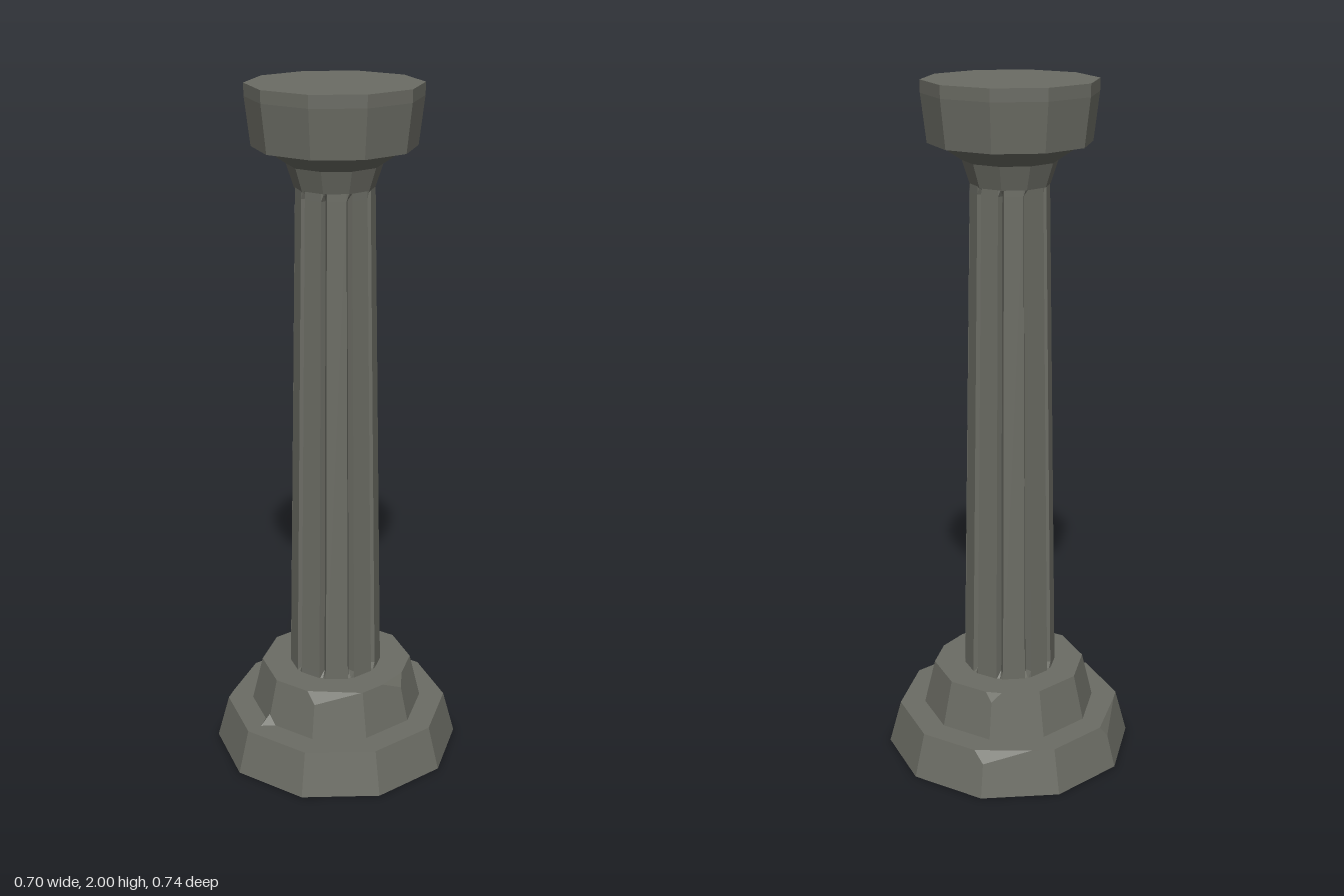
import * as THREE from 'three';
import { ConvexGeometry } from 'three/addons/geometries/ConvexGeometry.js';

const SIDES = 10;
const STEP = (Math.PI * 2) / SIDES;

// Point on a ring; angle 0 faces the front (+z)
const polar = (r, a, y) => new THREE.Vector3(r * Math.sin(a), y, r * Math.cos(a));

// Flat facets with hard edges
function faceted(geometry) {
  const g = geometry.index ? geometry.toNonIndexed() : geometry;
  g.computeVertexNormals();
  return g;
}

// Ten-sided tapered block; chips maps a top corner to the points that replace it
function chippedBlock(r0, r1, y0, y1, chips) {
  const points = [];
  for (let i = 0; i < SIDES; i++) {
    points.push(polar(r0, i * STEP, y0));
    if (!chips[i]) {
      points.push(polar(r1, i * STEP, y1));
      continue;
    }
    const { drop, before, after } = chips[i];
    const corner = polar(r1, i * STEP, y1);
    // The corner slides down its slanted edge, leaving a facet to both neighbours
    points.push(corner.clone().lerp(polar(r0, i * STEP, y0), drop));
    points.push(corner.clone().lerp(polar(r1, (i - 1) * STEP, y1), before));
    points.push(corner.clone().lerp(polar(r1, (i + 1) * STEP, y1), after));
  }
  return faceted(new ConvexGeometry(points));
}

// Tapered shaft with a narrow V groove along each corner, running out at both ends
function flutedShaft() {
  const half = 0.075;
  const levels = [
    [0.262, 0.137, 0.135], [0.285, 0.1365, 0.117],
    [1.7, 0.1105, 0.094], [1.722, 0.11, 0.109],
  ];
  const positions = [];
  const index = [];
  const n = SIDES * 3;
  for (const [y, r, groove] of levels) {
    for (let i = 0; i < SIDES; i++) {
      positions.push(...polar(r, i * STEP - half, y).toArray());
      positions.push(...polar(groove, i * STEP, y).toArray());
      positions.push(...polar(r, i * STEP + half, y).toArray());
    }
  }
  for (let l = 0; l < levels.length - 1; l++) {
    for (let i = 0; i < n; i++) {
      const a = l * n + i;
      const b = l * n + ((i + 1) % n);
      index.push(a, b, b + n, a, b + n, a + n);
    }
  }
  const g = new THREE.BufferGeometry();
  g.setAttribute('position', new THREE.Float32BufferAttribute(positions, 3));
  g.setIndex(index);
  return faceted(g);
}

export function createModel() {
  const group = new THREE.Group();
  const stone = new THREE.MeshStandardMaterial({ color: 0x6b6c64 });
  stone.name = 'dark grey stone';

  const add = (name, geometry, x = 0, z = 0) => {
    const mesh = new THREE.Mesh(geometry, stone);
    mesh.name = name;
    mesh.position.set(x, 0, z);
    group.add(mesh);
  };

  // Stepped base with broken corners
  add('lowerPlinth', chippedBlock(0.368, 0.333, 0, 0.13, {
    5: { drop: 0.25, before: 0.15, after: 0.68 },
    7: { drop: 0.25, before: 0.1, after: 0.82 },
  }));
  add('upperPlinth', chippedBlock(0.258, 0.226, 0.13, 0.265, {
    0: { drop: 0.25, before: 0.2, after: 0.98 },
    2: { drop: 0.22, before: 0.45, after: 0.25 },
    5: { drop: 0.2, before: 0.15, after: 0.2 },
  }));

  // Small wedge of rubble leaning on the step
  add('stoneChip', faceted(new ConvexGeometry([
    new THREE.Vector3(-0.17, 0.128, 0.18),
    new THREE.Vector3(-0.17, 0.128, 0.233),
    new THREE.Vector3(-0.12, 0.128, 0.215),
    new THREE.Vector3(-0.145, 0.165, 0.195),
  ])));

  // Shaft
  add('shaft', flutedShaft(), -0.003);

  // Flared neck and capital
  const profile = [
    [0, 1.718], [0.111, 1.718], [0.133, 1.785], [0.202, 1.83],
    [0.227, 1.832], [0.243, 1.965], [0.2435, 2], [0, 2],
  ].map(([r, y]) => new THREE.Vector2(r, y));
  add('capital', faceted(new THREE.LatheGeometry(profile, SIDES)), -0.005, -0.002);

  return group;
}
